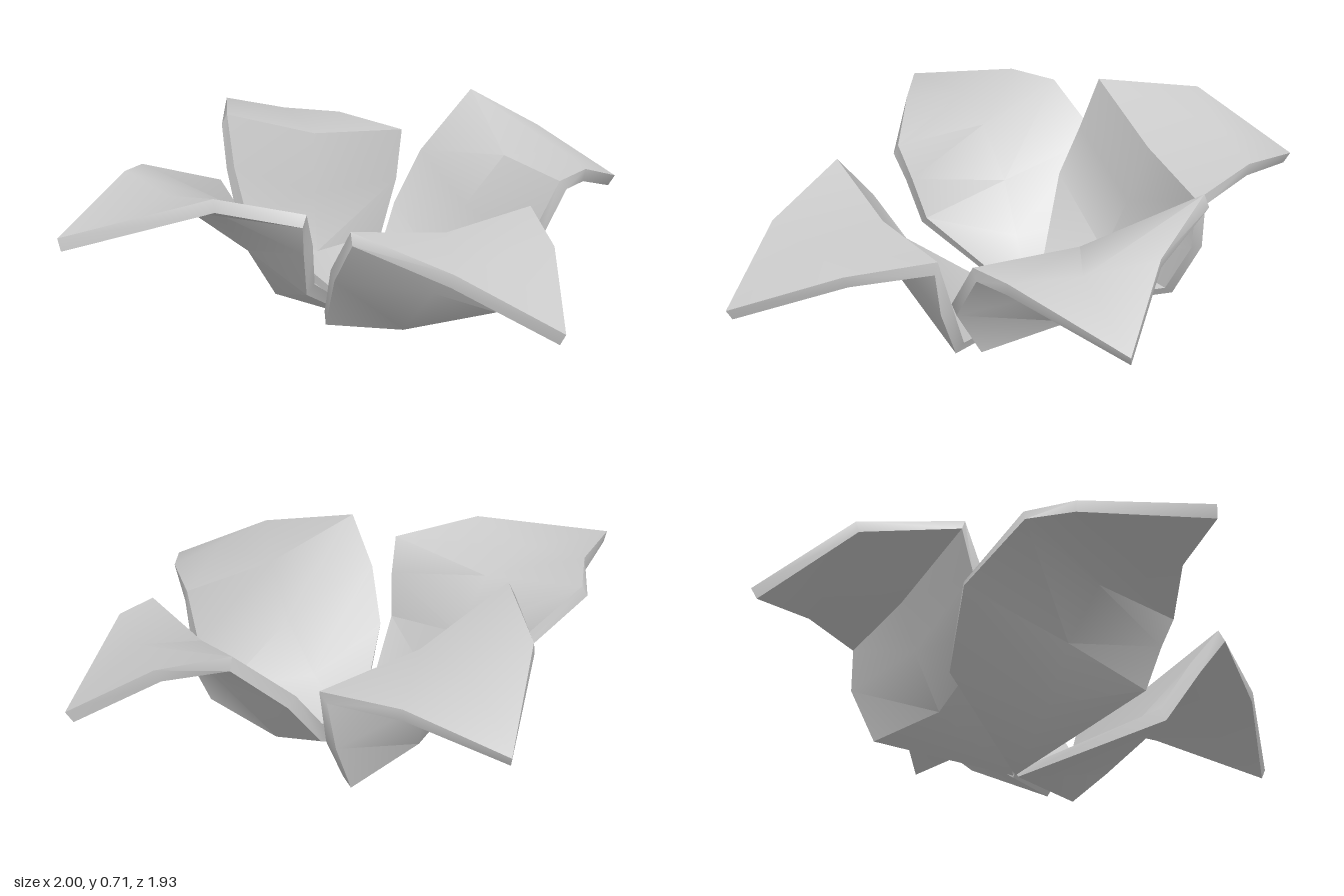
import * as THREE from 'three';
import { toCreasedNormals } from 'three/addons/utils/BufferGeometryUtils.js';

const CENTRE = [0.08, 0.025, -0.11];
const THICKNESS = 0.045;

// Each petal: cross-sections from the base outwards (left, middle, right), then the tip
const PETALS = {
  frontPetal: {
    rows: [
      [[-0.36, 0.2, 0.11], [-0.05, 0.11, 0.18], [0.24, 0.13, 0.35]],
      [[-0.43, 0.38, 0.2], [-0.08, 0.27, 0.32], [0.28, 0.31, 0.43]],
      [[-0.47, 0.54, 0.32], [-0.1, 0.47, 0.41], [0.27, 0.49, 0.48]],
      [[-0.38, 0.45, 0.66], [-0.15, 0.45, 0.68], [0.08, 0.44, 0.71]],
    ],
    tip: [-0.22, 0.285, 0.965],
  },
  leftPetal: {
    rows: [
      [[0.29, 0.16, 0.34], [0.35, 0.17, 0], [0.46, 0.32, -0.27]],
      [[0.3, 0.34, 0.45], [0.46, 0.37, 0.06], [0.59, 0.5, -0.25]],
      [[0.44, 0.54, 0.48], [0.57, 0.55, 0.15], [0.79, 0.71, -0.17]],
      [[0.6, 0.55, 0.48], [0.73, 0.56, 0.29], [0.86, 0.6, 0.09]],
    ],
    tip: [1, 0.42, 0.35],
  },
  backPetal: {
    rows: [
      [[0.48, 0.18, -0.35], [0.15, 0.18, -0.38], [-0.15, 0.36, -0.44]],
      [[0.58, 0.37, -0.36], [0.2, 0.38, -0.44], [-0.13, 0.53, -0.52]],
      [[0.6, 0.56, -0.35], [0.25, 0.59, -0.48], [-0.1, 0.71, -0.58]],
      [[0.57, 0.59, -0.64], [0.36, 0.63, -0.73], [0.15, 0.69, -0.83]],
    ],
    tip: [0.48, 0.5, -0.97],
  },
  rightPetal: {
    rows: [
      [[0, 0.23, -0.53], [-0.17, 0.165, -0.25], [-0.33, 0.27, 0.04]],
      [[-0.12, 0.47, -0.6], [-0.27, 0.34, -0.28], [-0.37, 0.42, 0.07]],
      [[-0.43, 0.58, -0.67], [-0.41, 0.51, -0.3], [-0.42, 0.54, 0.09]],
      [[-0.58, 0.6, -0.59], [-0.6, 0.56, -0.36], [-0.63, 0.6, -0.12]],
    ],
    tip: [-1, 0.49, -0.45],
  },
};

// Thick petal: the upper sheet, an offset lower sheet and a rim joining them
function petalGeometry({ rows, tip }) {
  const grid = [[CENTRE, CENTRE, CENTRE], ...rows, [tip, tip, tip]];
  const last = grid.length - 1;
  const top = grid.flat().map((p) => new THREE.Vector3(...p));
  const faces = [];
  for (let r = 0; r < last; r++) {
    for (let c = 0; c < 2; c++) {
      const a = r * 3 + c, b = a + 1, d = a + 3, e = a + 4;
      if (r > 0) faces.push([a, d, b]);
      if (r < last - 1) faces.push([b, d, e]);
    }
  }

  // Average normals at each grid point give the offset direction
  const normals = top.map(() => new THREE.Vector3());
  for (const [i, j, k] of faces) {
    const n = top[j].clone().sub(top[i]).cross(top[k].clone().sub(top[i]));
    [i, j, k].forEach((v) => normals[v].add(n));
  }
  const bottom = top.map((p, i) => {
    const r = Math.floor(i / 3);
    const n = (r === 0 || r === last ? normals[r * 3 + 1] : normals[i]).clone().normalize();
    return p.clone().addScaledVector(n, r === 0 ? -0.025 : -THICKNESS);
  });

  const tris = [];
  for (const [i, j, k] of faces) {
    tris.push(top[i], top[j], top[k], bottom[i], bottom[k], bottom[j]);
  }
  for (let r = 0; r < last; r++) {
    const l = r * 3, m = l + 3, s = l + 2, t = l + 5;
    tris.push(top[l], bottom[l], top[m], top[m], bottom[l], bottom[m]);
    tris.push(top[s], top[t], bottom[s], top[t], bottom[t], bottom[s]);
  }
  const geometry = new THREE.BufferGeometry().setFromPoints(tris);
  return toCreasedNormals(geometry, 0.8);
}

export function createModel() {
  const flower = new THREE.Group();
  flower.name = 'flower';
  const material = new THREE.MeshStandardMaterial({ color: 0xcccccc, side: THREE.DoubleSide });
  for (const [name, petal] of Object.entries(PETALS)) {
    const mesh = new THREE.Mesh(petalGeometry(petal), material);
    mesh.name = name;
    flower.add(mesh);
  }
  return flower;
}
